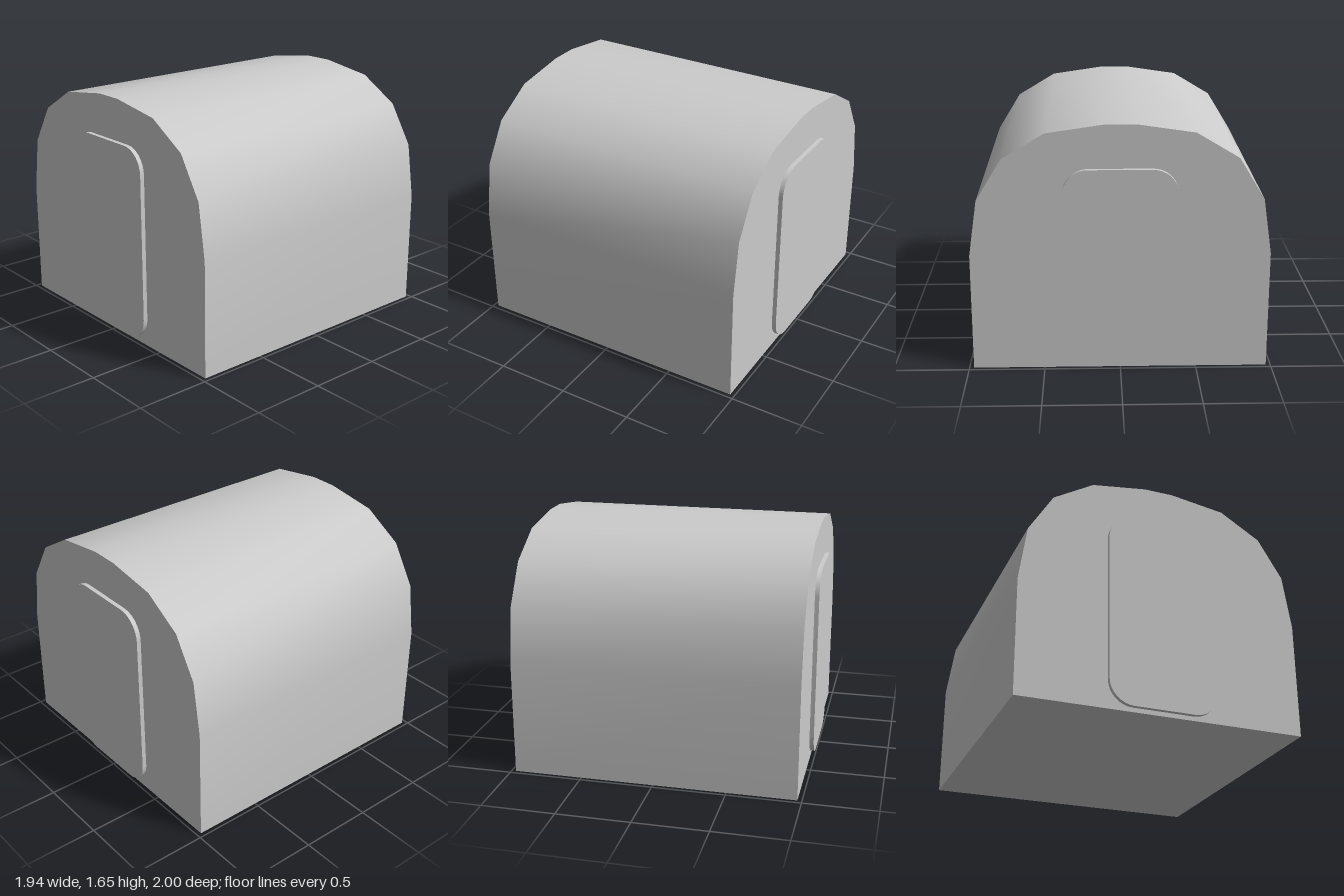
import * as THREE from 'three';
import { toCreasedNormals } from 'three/addons/utils/BufferGeometryUtils.js';

const grey = new THREE.MeshStandardMaterial({ color: 0xcccccc });

// Extrude a shape along z, smooth around the outline and sharp at the caps
function extrudePart(name, shape, depth, z) {
  const geometry = new THREE.ExtrudeGeometry(shape, { depth, bevelEnabled: false, curveSegments: 4 });
  geometry.translate(0, 0, z);
  const mesh = new THREE.Mesh(toCreasedNormals(geometry, 0.6), grey);
  mesh.name = name;
  return mesh;
}

// Upright panel outline with rounded corners
function roundedRect(halfWidth, bottom, top, r) {
  const s = new THREE.Shape();
  const x = halfWidth - r;
  s.absarc(x, bottom + r, r, -Math.PI / 2, 0);
  s.absarc(x, top - r, r, 0, Math.PI / 2);
  s.absarc(-x, top - r, r, Math.PI / 2, Math.PI);
  s.absarc(-x, bottom + r, r, Math.PI, Math.PI * 1.5);
  s.closePath();
  return s;
}

export function createModel() {
  const group = new THREE.Group();
  group.name = 'archedShelter';

  // Body: half profile mirrored into a faceted arch on straight walls
  const half = [[0.97, 0], [0.97, 0.79], [0.915, 1.16], [0.75, 1.43], [0.475, 1.595], [0.1, 1.65]];
  const mirrored = half.map(([x, y]) => [-x, y]).reverse();
  const outline = [...half, ...mirrored].map(([x, y]) => new THREE.Vector2(x, y));
  group.add(extrudePart('body', new THREE.Shape(outline), 1.94, -0.97));

  // Raised door panel on each end
  const door = roundedRect(0.37, 0.03, 1.365, 0.165);
  for (const [name, turn] of [['frontDoor', 0], ['backDoor', Math.PI]]) {
    const panel = extrudePart(name, door, 0.05, 0.95);
    panel.rotation.y = turn;
    group.add(panel);
  }
  return group;
}
